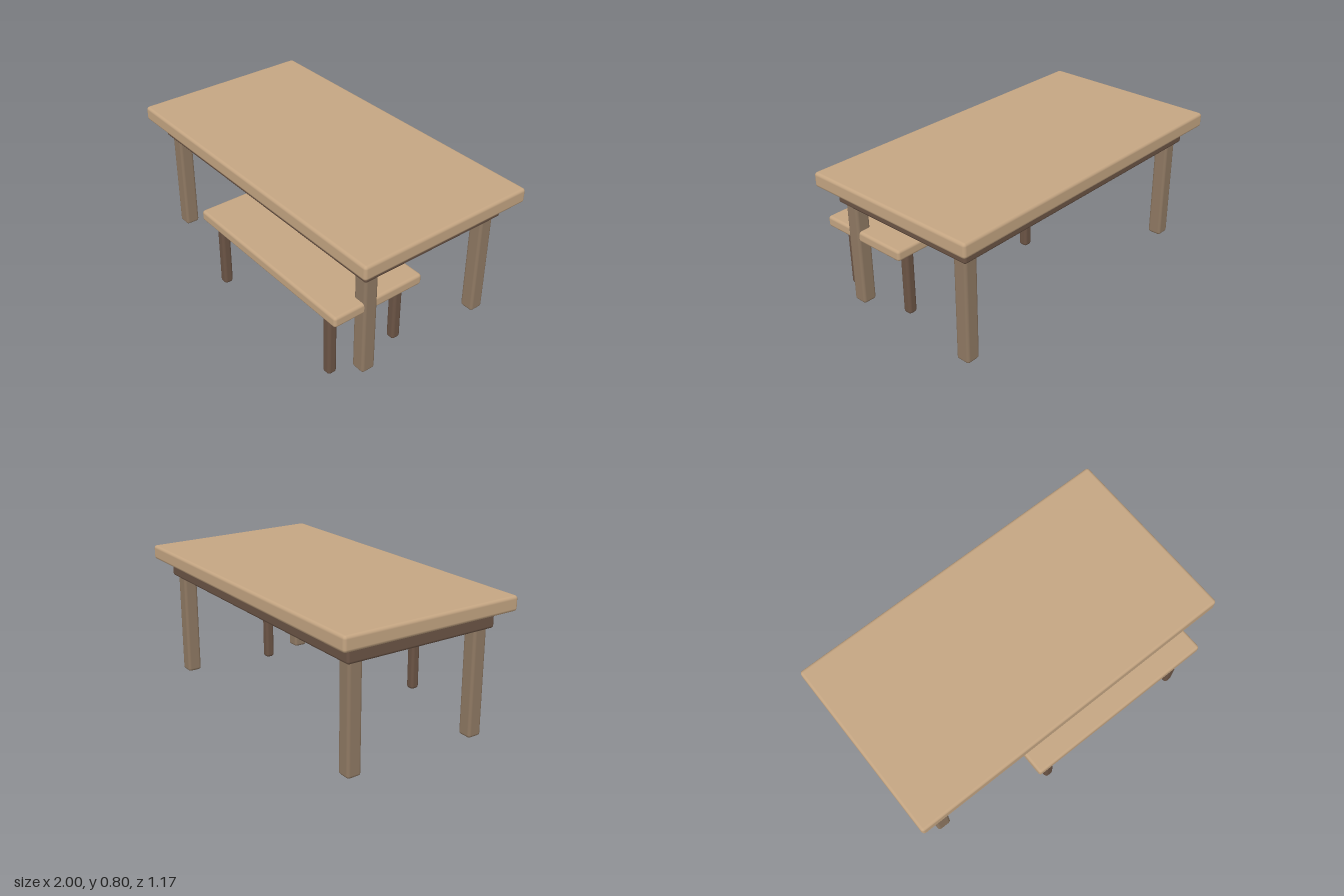
import * as THREE from 'three';
import { RoundedBoxGeometry } from 'three/addons/geometries/RoundedBoxGeometry.js';

const material = (color) => new THREE.MeshStandardMaterial({ color });

export function createModel() {
  const model = new THREE.Group();
  const lightWood = material(0xc4a582);
  const midWood = material(0x8f7963);
  const darkWood = material(0x6b5445);

  // Softly rounded board given by its extents on each axis
  function board(parent, name, [x0, x1], [y0, y1], [z0, z1], radius, mat) {
    const geometry = new RoundedBoxGeometry(x1 - x0, y1 - y0, z1 - z0, 2, radius);
    const mesh = new THREE.Mesh(geometry, mat);
    mesh.position.set((x0 + x1) / 2, (y0 + y1) / 2, (z0 + z1) / 2);
    mesh.name = name;
    parent.add(mesh);
  }

  // Square legs at every combination of the given x and z centres
  function legs(parent, name, xs, zs, width, top, radius, mat) {
    const h = width / 2;
    for (const x of xs) {
      for (const z of zs) {
        board(parent, name, [x - h, x + h], [0, top], [z - h, z + h], radius, mat);
      }
    }
  }

  // Table: overhanging top, solid apron block, four posts
  const table = new THREE.Group();
  table.name = 'table';
  board(table, 'tableTop', [-1, 1], [0.712, 0.797], [-0.583, 0.503], 0.018, lightWood);
  board(table, 'tableApron', [-0.918, 0.918], [0.614, 0.72], [-0.503, 0.426], 0.015, darkWood);
  legs(table, 'tableLeg', [-0.85, 0.85], [-0.436, 0.359], 0.085, 0.64, 0.017, midWood);

  // Bench: pushed partly under the front edge of the table
  const bench = new THREE.Group();
  bench.name = 'bench';
  board(bench, 'benchSeat', [-0.297, 0.885], [0.396, 0.46], [0.013, 0.583], 0.017, lightWood);
  legs(bench, 'benchLeg', [-0.181, 0.769], [0.081, 0.518], 0.056, 0.4, 0.018, darkWood);

  model.add(table, bench);
  return model;
}
